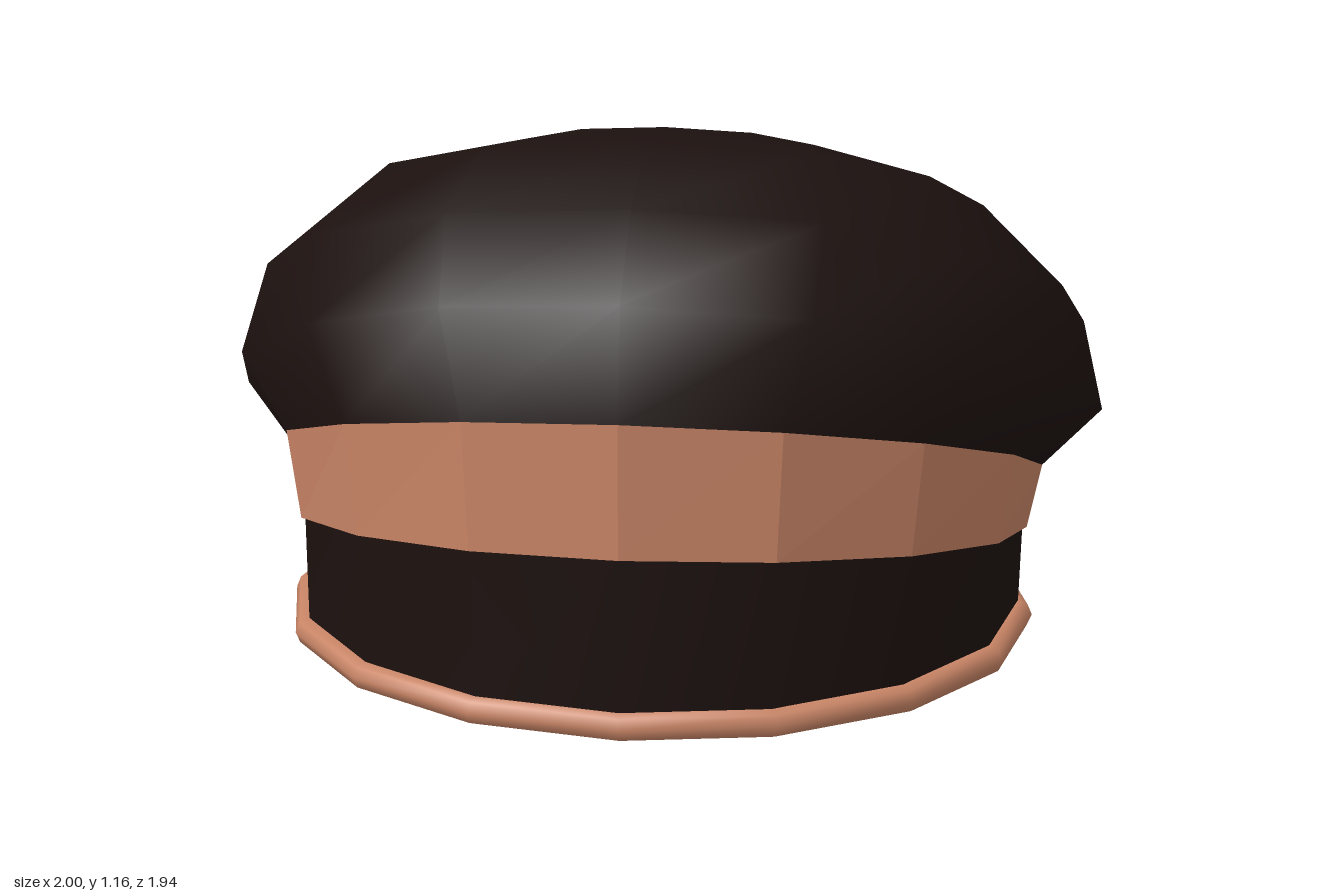
import * as THREE from 'three';
import { mergeVertices } from 'three/addons/utils/BufferGeometryUtils.js';

const SIDES = 16;

// Tilted oval ring through a front point and a back point, with half width w.
// bulge widens the ring near its front and back.
function ring(zf, yf, zb, yb, w, bulge = 0) {
  const points = [];
  for (let i = 0; i < SIDES; i++) {
    const a = (i / SIDES) * Math.PI * 2;
    const c = Math.cos(a);
    points.push(new THREE.Vector3(
      w * Math.sin(a) * (1 + bulge * c * c),
      (yf + yb) / 2 + ((yf - yb) / 2) * c,
      (zf + zb) / 2 + ((zf - zb) / 2) * c
    ));
  }
  return points;
}

// Skin a stack of rings, listed from bottom to top.
function loft(rings) {
  const positions = [];
  const index = [];
  for (const r of rings) for (const p of r) positions.push(p.x, p.y, p.z);
  for (let j = 0; j < rings.length - 1; j++) {
    for (let i = 0; i < SIDES; i++) {
      const k = (i + 1) % SIDES;
      const a = j * SIDES + i, b = j * SIDES + k;
      index.push(a, b, b + SIDES, a, b + SIDES, a + SIDES);
    }
  }
  let geometry = new THREE.BufferGeometry();
  geometry.setAttribute('position', new THREE.Float32BufferAttribute(positions, 3));
  geometry.setIndex(index);
  geometry = mergeVertices(geometry);
  geometry.computeVertexNormals();
  return geometry;
}

export function createModel() {
  const group = new THREE.Group();
  const material = (color, flatShading = false) =>
    new THREE.MeshStandardMaterial({ color, flatShading, side: THREE.DoubleSide });
  const dark = material(0x1c110f);
  const copperFlat = material(0xc98566, true);
  const copper = material(0xc98566);

  const add = (name, geometry, mat) => {
    const mesh = new THREE.Mesh(geometry, mat);
    mesh.name = name;
    group.add(mesh);
    return mesh;
  };

  const wallBottom = ring(0.945, 0.035, -0.545, 0.035, 0.82);
  const wallTop = ring(0.945, 0.4, -0.59, 0.07, 0.825);
  const bandBottom = ring(0.95, 0.4, -0.6, 0.07, 0.835);
  const bandTop = ring(0.95, 0.69, -0.62, 0.072, 0.865);

  // Upright wall that sits on the head
  add('headWall', loft([wallBottom, wallTop, bandBottom]), dark);

  // Tapering band, tall at the front and closing to a point at the back
  add('hatBand', loft([bandBottom, bandTop]), copperFlat);

  // Soft crown, tipped backwards over the wall
  add('crown', loft([
    bandTop,
    ring(0.9, 0.925, -0.89, 0.01, 1.0),
    ring(0.72, 1.08, -0.97, 0.2, 0.955, 0.1),
    ring(0.44, 1.16, -0.88, 0.47, 0.745, 0.27),
    ring(0.08, 1.12, -0.64, 0.74, 0.41, 0.27),
    ring(-0.3, 0.965, -0.3, 0.965, 0),
  ]), dark);

  // Rolled rim around the opening
  const rim = new THREE.TorusGeometry(0.82, 0.033, 8, SIDES);
  rim.rotateX(Math.PI / 2);
  rim.scale(1, 1, 0.903);
  add('rolledRim', rim, copper).position.set(0, 0.033, 0.2);

  return group;
}
